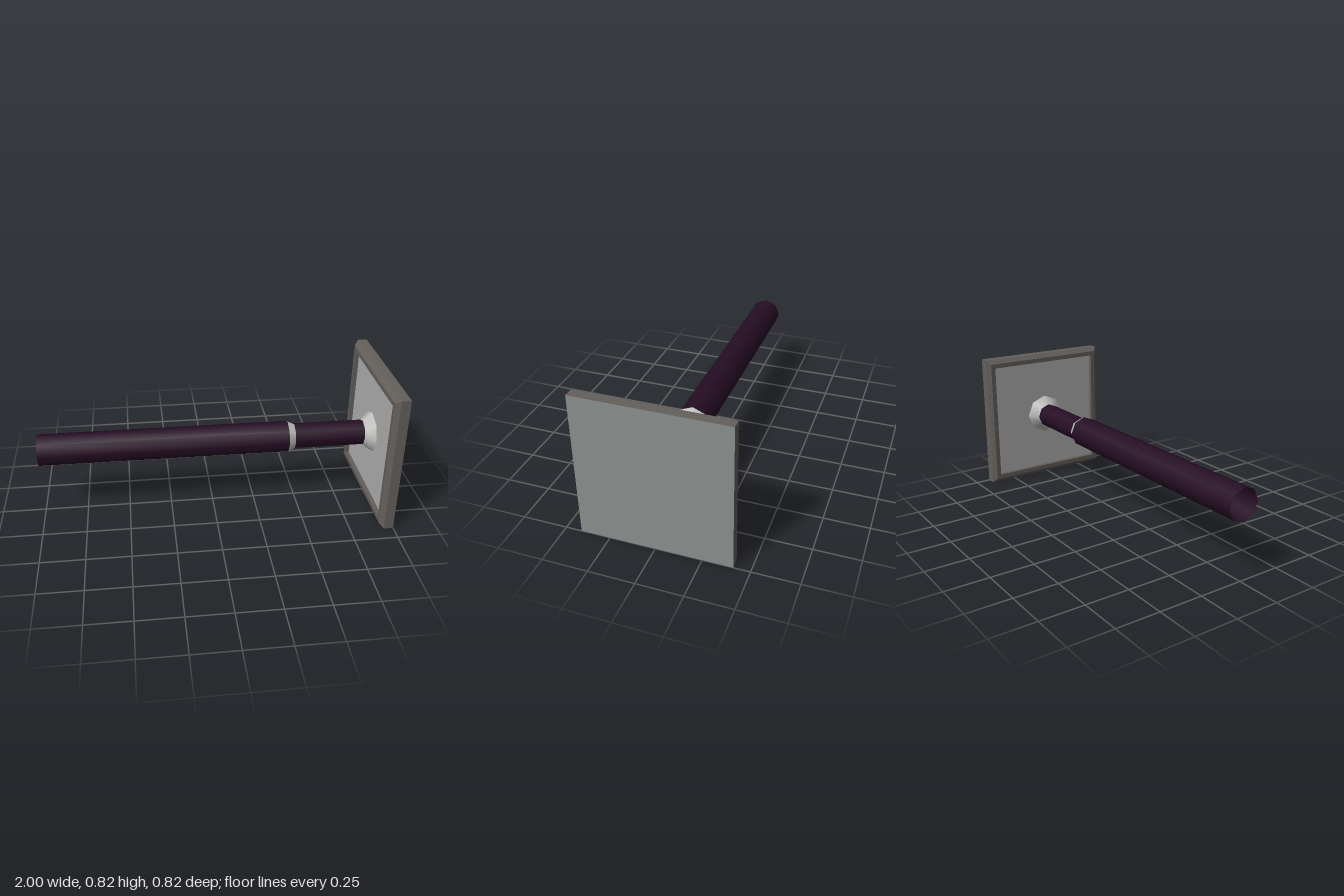
import * as THREE from 'three';

const AXIS_Y = 0.412; // height of the handle axis
const HALF = 0.412;   // half width of the square plate

const material = (name, color, side = THREE.FrontSide) => {
  const m = new THREE.MeshStandardMaterial({ color, side });
  m.name = name;
  return m;
};

export function createModel() {
  const group = new THREE.Group();
  const purple = material('dark purple', 0x260d24, THREE.DoubleSide);
  const silver = material('light grey', 0xc0c0bd, THREE.DoubleSide);
  const frameGrey = material('warm grey', 0x645f5b);
  const faceGrey = material('green grey', 0x8c918f);
  const panelGrey = material('panel grey', 0xb0b0b0);

  const add = (name, geometry, mat) => {
    const mesh = new THREE.Mesh(geometry, mat);
    mesh.name = name;
    mesh.position.y = AXIS_Y;
    group.add(mesh);
  };

  // Eight-sided smooth section running along x from x0 to x1
  const section = (name, x0, r0, x1, r1, mat) => {
    const g = new THREE.CylinderGeometry(r1, r0, x1 - x0, 8, 1, true);
    g.rotateZ(-Math.PI / 2).translate((x0 + x1) / 2, 0, 0);
    add(name, g, mat);
  };
  section('handle', -1, 0.093, 0.44, 0.093, purple);
  section('collar', 0.44, 0.093, 0.48, 0.075, silver);
  section('neck', 0.48, 0.075, 0.89, 0.075, purple);
  section('flange', 0.89, 0.075, 0.945, 0.123, silver);

  // Square frame: inner step, flat ridge, outer chamfer and edge
  const profile = [[0.36, 0.945], [0.36, 0.92], [0.387, 0.92], [HALF, 0.945], [HALF, 1]]
    .map(([h, x]) => new THREE.Vector2(h * Math.SQRT2, x));
  const frame = new THREE.LatheGeometry(profile, 4, Math.PI / 4).toNonIndexed();
  frame.computeVertexNormals();
  frame.rotateZ(-Math.PI / 2);
  add('plateFrame', frame, frameGrey);

  // Recessed panel on the handle side, flat face on the outside
  add('recessedPanel', new THREE.PlaneGeometry(0.72, 0.72)
    .rotateY(-Math.PI / 2).translate(0.945, 0, 0), panelGrey);
  add('plateFace', new THREE.PlaneGeometry(2 * HALF, 2 * HALF)
    .rotateY(Math.PI / 2).translate(1, 0, 0), faceGrey);

  return group;
}
